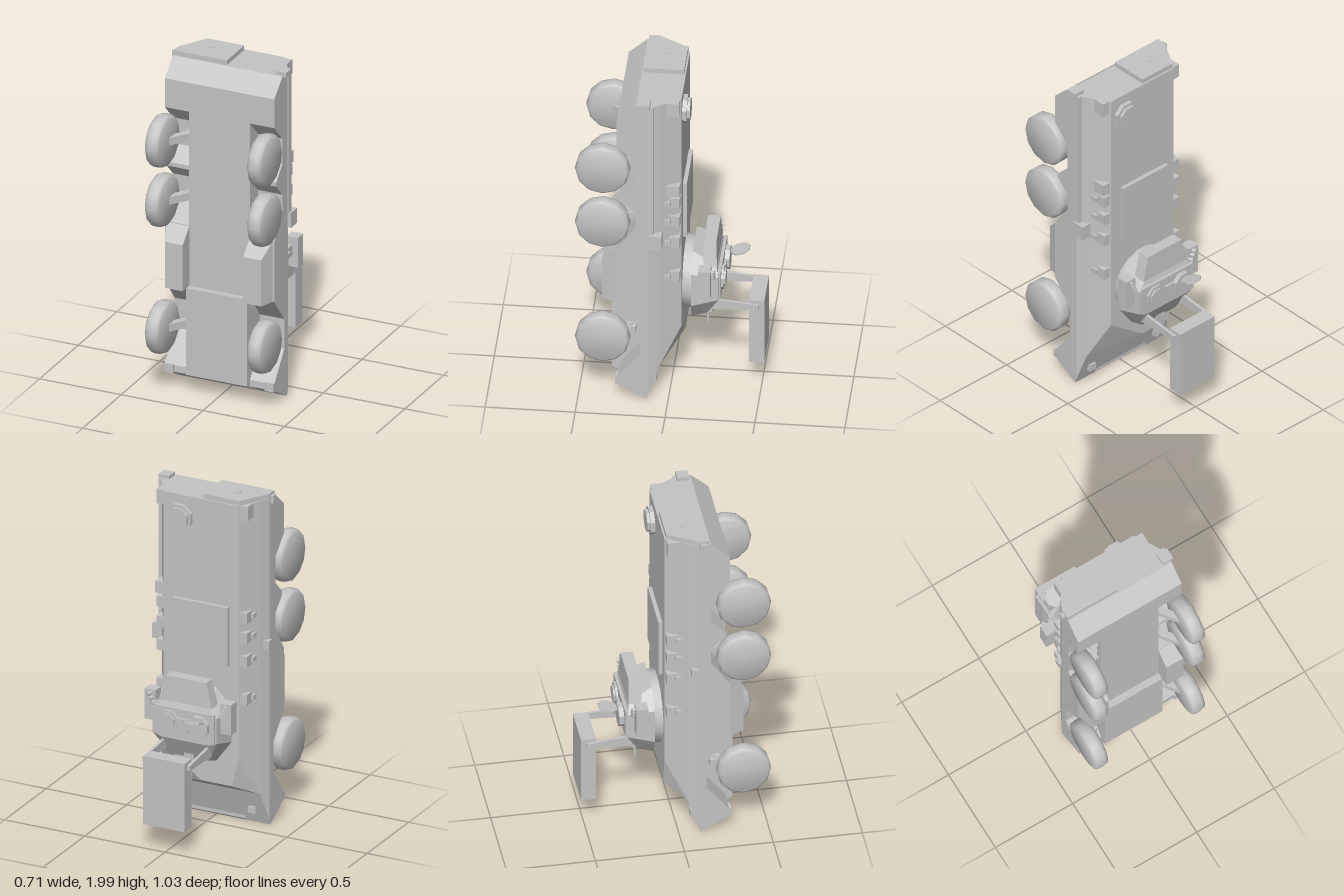
import * as THREE from 'three';
import { toCreasedNormals } from 'three/addons/utils/BufferGeometryUtils.js';
import { ConvexGeometry } from 'three/addons/geometries/ConvexGeometry.js';

export function createModel() {
  const model = new THREE.Group();
  const grey = new THREE.MeshStandardMaterial({ color: 0xc4c4c4 });
  grey.name = 'plain grey';

  const add = (name, geometry) => {
    const mesh = new THREE.Mesh(geometry, grey);
    mesh.name = name;
    model.add(mesh);
    return mesh;
  };
  // Box given by its limits on each axis
  const box = (name, x0, x1, y0, y1, z0, z1) => {
    const m = add(name, new THREE.BoxGeometry(x1 - x0, y1 - y0, z1 - z0));
    m.position.set((x0 + x1) / 2, (y0 + y1) / 2, (z0 + z1) / 2);
    return m;
  };
  const convex = (name, pts) => add(name, new ConvexGeometry(pts.map((p) => new THREE.Vector3(...p))));
  // Both sides of a rectangle-like section: [half width, y, z]
  const mirrored = (pts) => pts.flatMap(([x, y, z]) => [[x, y, z], [-x, y, z]]);
  // Side profile of [z, y] points, extruded from x0 to x1
  const profile = (name, pts, x0, x1) => {
    const shape = new THREE.Shape(pts.map((p) => new THREE.Vector2(...p)));
    const g = new THREE.ExtrudeGeometry(shape, { depth: x1 - x0, bevelEnabled: false });
    g.rotateY(-Math.PI / 2).translate(x1, 0, 0);
    return add(name, g);
  };
  // Flat-sided disc with its axis along z
  const disc = (name, x, y, z0, z1, rOuter, rInner = rOuter, sides = 8) => {
    const g = new THREE.CylinderGeometry(rInner, rOuter, z1 - z0, sides);
    g.rotateY(Math.PI / sides).rotateX(-Math.PI / 2);
    const m = add(name, toCreasedNormals(g, 0.4));
    m.position.set(x, y, (z0 + z1) / 2);
    return m;
  };

  // Hull: belly, side panels with wheel arches, sloped upper layers
  profile('belly', [[0.11, 0.01], [0.12, 0], [0.325, 0.11], [0.325, 0.635], [0.285, 0.635],
    [0.285, 1.865], [0.18, 1.96], [0.11, 1.96]], -0.186, 0.186);
  const sidePanel = [[0.11, 0.03], [0.12, 0], [0.285, 0.095], [0.285, 0.135], [0.155, 0.3], [0.155, 0.48],
    [0.285, 0.635], [0.285, 1.0], [0.18, 1.15], [0.18, 1.245], [0.26, 1.325], [0.26, 1.35], [0.18, 1.43],
    [0.18, 1.585], [0.285, 1.69], [0.285, 1.865], [0.18, 1.96], [0.11, 1.96]];
  profile('leftSidePanel', sidePanel, 0.185, 0.335);
  profile('rightSidePanel', sidePanel, -0.335, -0.185);
  convex('glacisLayer', mirrored([[0.335, 0, 0.12], [0.335, 0.03, 0.11], [0.335, 1.96, 0.11],
    [0.335, 1.96, 0.12], [0.308, 0.2, 0.055], [0.308, 1.96, 0.055]]));
  convex('upperHull', [
    [0.308, 0.2, 0.055], [-0.308, 0.2, 0.055], [0.308, 1.96, 0.055], [-0.308, 1.96, 0.055],
    [0.235, 0.44, -0.065], [-0.235, 0.44, -0.065], [0.235, 1.96, -0.065], [-0.235, 1.96, -0.065],
    [0, 0.27, -0.065], [-0.19, 0.27, -0.065]]);

  // Rear door with clipped corner, and its handle
  convex('rearDoor', [1.955, 1.988].flatMap((y) => [
    [-0.01, y, -0.055], [-0.235, y, -0.055], [-0.335, y, 0.115], [-0.335, y, 0.17], [-0.01, y, 0.17]]));
  box('doorHandle', -0.183, -0.157, 1.985, 1.992, 0.035, 0.06);

  for (const s of [1, -1]) {
    const sideBox = (name, x0, x1, ...rest) => box(name, Math.min(s * x0, s * x1), Math.max(s * x0, s * x1), ...rest);

    // Belly sponson between the axles
    convex('sponson', [
      [0.185, 0.635, 0.28], [0.325, 0.635, 0.28], [0.185, 1.0, 0.28], [0.325, 1.0, 0.28],
      [0.185, 0.635, 0.37], [0.295, 0.635, 0.37], [0.185, 0.915, 0.37], [0.295, 0.915, 0.37],
    ].map(([x, y, z]) => [s * x, y, z]));

    // Wheels and axle arms
    for (const y of [0.395, 1.165, 1.525]) {
      const tyre = [[0, -0.043], [0.135, -0.043], [0.148, -0.034], [0.153, -0.015],
        [0.153, 0.015], [0.148, 0.034], [0.135, 0.043], [0, 0.043]].map((p) => new THREE.Vector2(...p));
      const g = toCreasedNormals(new THREE.LatheGeometry(tyre, 12).rotateZ(Math.PI / 2), 0.85);
      add('wheel', g).position.set(s * 0.313, y, 0.365);
      sideBox('axleMount', 0.18, 0.235, y - 0.016, y + 0.016, 0.19, 0.24);
      const arm = add('axleArm', new THREE.BoxGeometry(0.18, 0.045, 0.04));
      arm.position.set(s * 0.235, y, 0.285);
      arm.rotation.y = -s * 0.95;
    }

    // Periscope-like side blocks with small outer latches
    for (const y of [0.8, 1.03, 1.17, 1.29]) {
      sideBox('sideBlock', 0.22, 0.282, y - 0.032, y + 0.032, -0.06, 0.0);
      sideBox('sideLatch', 0.25, 0.297, y - 0.014, y + 0.014, -0.01, 0.027);
    }
    sideBox('rearSideBox', 0.22, 0.285, 1.875, 1.96, -0.055, 0.015);

    // Lamps at the nose
    sideBox('lowerLamp', 0.28, 0.335, 0.09, 0.14, 0.25, 0.295);
    sideBox('glacisLamp', 0.22, 0.265, 0.065, 0.105, 0.075, 0.1);

    // Turret side boxes, grenade tubes and launcher arms
    sideBox('turretSideBox', 0.2, 0.27, 0.65, 0.83, -0.227, -0.16);
    for (let i = 0; i < 3; i++) {
      const tube = disc('grenadeTube', s * (0.207 + i * 0.012), 0.76 + i * 0.025, -0.25, -0.195, 0.012);
      tube.rotation.y = -s * 0.4;
    }
    convex('launcherArm', [0.13, 0.147].flatMap((x) => [
      [s * x, 0.5, -0.2], [s * x, 0.57, -0.2], [s * x, 0.51, -0.485], [s * x, 0.54, -0.485]]));
  }

  // Single-sided fittings
  box('largeSideBlock', 0.22, 0.29, 1.34, 1.41, -0.06, 0.015);
  box('shoulderBox', 0.295, 0.357, 1.02, 1.11, 0.035, 0.115);
  box('shoulderRod', 0.315, 0.343, 1.1, 1.96, 0.082, 0.115);
  box('smallShoulderBox', -0.352, -0.31, 1.07, 1.12, 0.07, 0.11);
  box('leftTailLamp', 0.285, 0.352, 1.95, 1.98, 0.1, 0.167);
  box('rightTailLamp', -0.355, -0.33, 1.93, 1.975, 0.12, 0.152);

  // Roof fittings
  box('roofHatch', -0.175, 0.165, 0.99, 1.345, -0.088, -0.06);
  disc('ventBase', 0.13, 1.83, -0.09, -0.06, 0.082);
  disc('ventCap', 0.13, 1.83, -0.107, -0.085, 0.065);

  // Turret: ring, faceted body, rear slab
  disc('turretRing', 0, 0.655, -0.118, -0.06, 0.205, 0.205, 16);
  convex('turretBody', mirrored([
    [0.12, 0.43, -0.11], [0.215, 0.56, -0.115], [0.215, 0.77, -0.115], [0.12, 0.87, -0.115],
    [0.12, 0.46, -0.2], [0.2, 0.6, -0.265], [0.2, 0.75, -0.265], [0.15, 0.8, -0.25], [0.15, 0.58, -0.265]]));
  box('turretRoof', -0.19, 0.19, 0.6, 0.77, -0.277, -0.26);
  convex('rearSlab', mirrored([
    [0.165, 0.8, -0.18], [0.165, 0.8, -0.255], [0.125, 0.945, -0.18], [0.125, 0.945, -0.248]]));

  // Turret hatches, with one lid standing open
  disc('commanderHatchRing', -0.097, 0.69, -0.305, -0.27, 0.068);
  disc('gunnerHatchRing', 0.097, 0.69, -0.29, -0.27, 0.07);
  disc('gunnerHatchLid', 0.097, 0.69, -0.3, -0.285, 0.05);
  box('sightBlock', -0.03, 0.03, 0.64, 0.72, -0.292, -0.27);
  const lid = add('openHatchLid', toCreasedNormals(
    new THREE.CylinderGeometry(0.058, 0.058, 0.009, 8).rotateY(Math.PI / 8), 0.4));
  lid.position.set(-0.097, 0.748, -0.36);
  lid.rotation.x = 0.28;

  // Gun
  box('gunMount', -0.03, 0.03, 0.4, 0.52, -0.215, -0.165);
  const barrel = add('gunBarrel', toCreasedNormals(new THREE.CylinderGeometry(0.008, 0.008, 0.13, 8), 0.9));
  barrel.position.set(0, 0.385, -0.19);

  // Raised launcher box
  box('launcherBox', -0.13, 0.128, 0.15, 0.56, -0.515, -0.43);

  return model;
}
